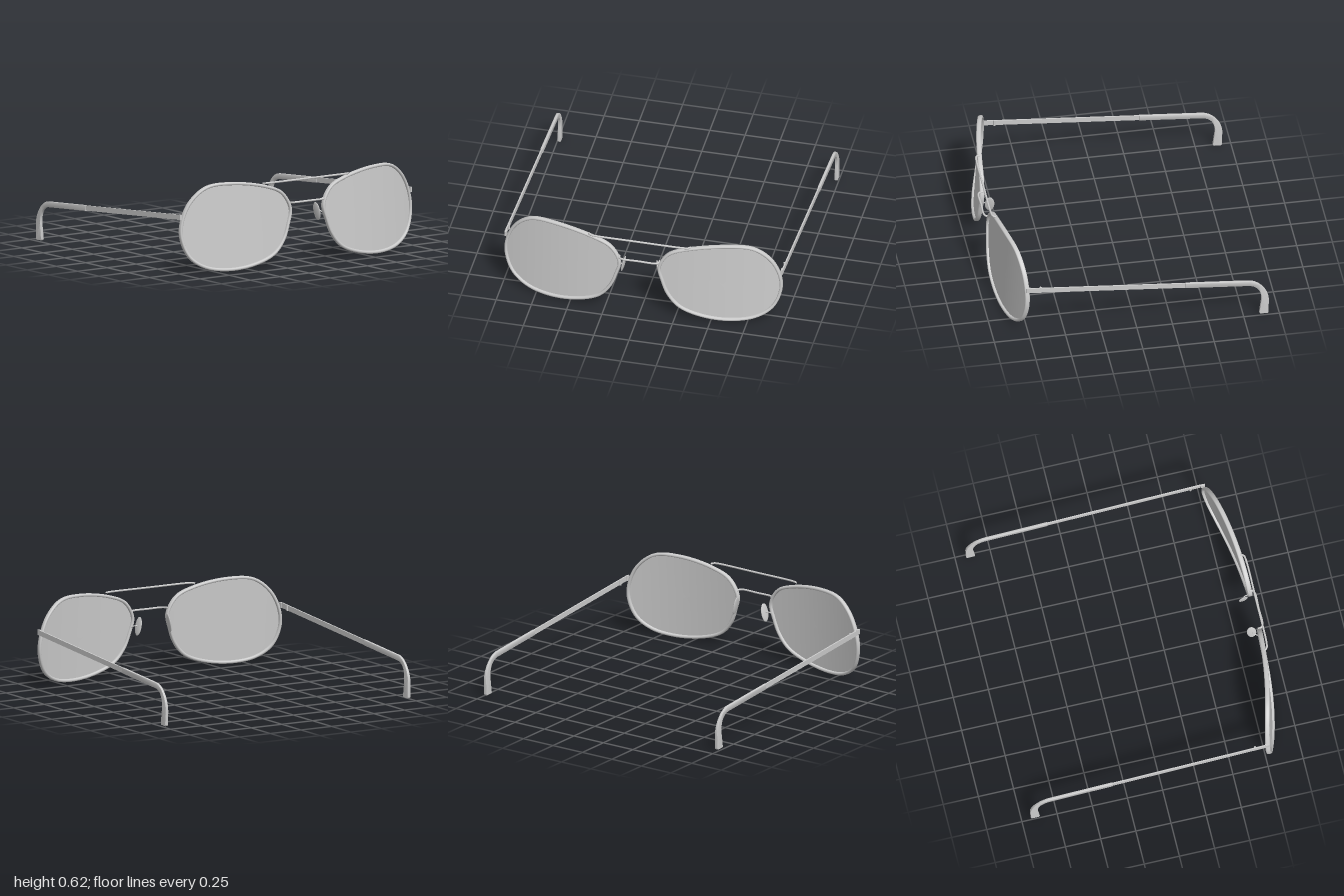
import * as THREE from 'three';
import { toCreasedNormals } from 'three/addons/utils/BufferGeometryUtils.js';

const mat = new THREE.MeshStandardMaterial({ color: 0xcccccc });
const lensMat = new THREE.MeshStandardMaterial({ color: 0xcccccc, side: THREE.DoubleSide });

// Wrapped, slightly tilted surface that the rims and lenses follow
const faceZ = (x, y) => 0.897 - 0.14 * Math.pow(Math.max(0, (x - 0.1) / 0.88), 2.2) - 0.06 * (y - 0.3);

// Outer outline of one rim, running clockwise from the nose side
const outline = new THREE.CatmullRomCurve3([
  [0.131, 0.40], [0.20, 0.52], [0.34, 0.58], [0.60, 0.621], [0.79, 0.605], [0.915, 0.505],
  [0.98, 0.36], [0.984, 0.24], [0.93, 0.11], [0.82, 0.033], [0.65, 0.004], [0.44, 0.027],
  [0.28, 0.09], [0.197, 0.185], [0.155, 0.29],
].map(([x, y]) => new THREE.Vector3(x, y, 0)), true);

const STEPS = 112;
const RIM_W = 0.011, RIM_D = 0.017;

// Middle line of the rim with its inward direction
const rimLine = Array.from({ length: STEPS }, (_, i) => {
  const p = outline.getPointAt(i / STEPS), t = outline.getTangentAt(i / STEPS);
  const inward = new THREE.Vector2(t.y, -t.x);
  return { x: p.x + inward.x * RIM_W, y: p.y + inward.y * RIM_W, inward };
});

function gridGeometry(positions, rows, cols, wrapRows) {
  const index = [];
  for (let i = 0; i < (wrapRows ? rows : rows - 1); i++) {
    for (let j = 0; j < cols; j++) {
      const a = i * cols + j, b = i * cols + (j + 1) % cols;
      const n = (i + 1) % rows, c = n * cols + j, d = n * cols + (j + 1) % cols;
      index.push(a, c, b, b, c, d);
    }
  }
  const g = new THREE.BufferGeometry();
  g.setAttribute('position', new THREE.Float32BufferAttribute(positions, 3));
  g.setIndex(index);
  g.computeVertexNormals();
  return g;
}

// Rounded rim section swept round the outline
function rimGeometry() {
  const pos = [], sides = 12;
  const soft = v => Math.sign(v) * Math.pow(Math.abs(v), 0.7);
  for (const { x, y, inward } of rimLine) {
    for (let j = 0; j < sides; j++) {
      const a = j / sides * Math.PI * 2;
      const w = soft(Math.cos(a)) * RIM_W, d = soft(Math.sin(a)) * RIM_D;
      pos.push(x + inward.x * w, y + inward.y * w, faceZ(x, y) + d);
    }
  }
  return gridGeometry(pos, STEPS, sides, true);
}

// Lens: rings growing from the middle out to the rim
function lensGeometry() {
  const pos = [], rings = 10, cx = 0.56, cy = 0.31;
  for (let r = 0; r <= rings; r++) {
    const k = Math.max(r / rings, 0.001);
    for (const p of rimLine) {
      const x = cx + (p.x - cx) * k, y = cy + (p.y - cy) * k;
      pos.push(x, y, faceZ(x, y));
    }
  }
  const g = gridGeometry(pos, rings + 1, STEPS, false);
  const idx = g.index.array;
  // Turn the faces forward
  for (let i = 0; i < idx.length; i += 3) [idx[i], idx[i + 1]] = [idx[i + 1], idx[i]];
  g.computeVertexNormals();
  return g;
}

// Thin front part of the arm, sloping down to the back
const ARM_X = 0.984;
const armY = z => 0.4 - (0.75 - z) * 0.08;
function armGeometry() {
  const g = new THREE.BoxGeometry(0.01, 0.036, 1.12, 1, 1, 8);
  g.translate(ARM_X, 0, 0.2);
  const p = g.attributes.position;
  for (let i = 0; i < p.count; i++) p.setY(i, p.getY(i) + armY(p.getZ(i)));
  g.computeVertexNormals();
  return g;
}

// Thicker sleeve with the hook behind the ear, drawn in (-z, y)
function sleeveGeometry() {
  const s = new THREE.Shape();
  s.moveTo(0.35, armY(-0.35) + 0.02);
  s.lineTo(0.79, armY(-0.79) + 0.02);
  s.bezierCurveTo(0.87, 0.29, 0.935, 0.2, 0.933, 0.12);
  s.lineTo(0.93, 0.022);
  s.quadraticCurveTo(0.93, 0.011, 0.92, 0.01);
  s.lineTo(0.875, 0.012);
  s.quadraticCurveTo(0.865, 0.013, 0.866, 0.025);
  s.lineTo(0.88, 0.13);
  s.bezierCurveTo(0.883, 0.19, 0.86, 0.25, 0.79, armY(-0.79) - 0.02);
  s.lineTo(0.35, armY(-0.35) - 0.02);
  s.closePath();
  const g = new THREE.ExtrudeGeometry(s, {
    depth: 0.01, curveSegments: 14, bevelThickness: 0.004, bevelSize: 0.003, bevelOffset: -0.003, bevelSegments: 2,
  });
  g.translate(0, 0, -0.005);
  g.rotateY(Math.PI / 2);
  // The hook thickens towards its tip
  const p = g.attributes.position;
  for (let i = 0; i < p.count; i++) {
    const k = 1 + 0.35 * THREE.MathUtils.smoothstep(0.25 - p.getY(i), 0, 0.2);
    p.setX(i, p.getX(i) * k + ARM_X);
  }
  return toCreasedNormals(g, 0.6);
}

function hingeGeometry() {
  return new THREE.CylinderGeometry(0.008, 0.008, 0.042, 12).translate(ARM_X - 0.005, armY(0.665), 0.665);
}

// End piece joining the rim to the arm
function endPieceGeometry() {
  return new THREE.BoxGeometry(0.014, 0.036, 0.03).translate(ARM_X - 0.003, 0.4, 0.752);
}

function nosePadGeometry() {
  const g = new THREE.SphereGeometry(1, 20, 14);
  g.scale(0.008, 0.066, 0.033);
  g.rotateY(0.15);
  g.rotateZ(0.19);
  return g.translate(0.124, 0.345, 0.84);
}

function wireGeometry(points, radius) {
  const curve = new THREE.CatmullRomCurve3(points.map(p => new THREE.Vector3(...p)), false, 'centripetal');
  return new THREE.TubeGeometry(curve, 48, radius, 10);
}

// Mirrored copy across x with the faces turned back outward
function mirrored(source) {
  const g = source.index ? source.toNonIndexed() : source.clone();
  g.scale(-1, 1, 1);
  for (const a of Object.values(g.attributes)) {
    const n = a.itemSize, v = a.array;
    for (let i = 0; i < a.count; i += 3) {
      for (let k = 0; k < n; k++) {
        const q = (i + 1) * n + k;
        [v[q], v[q + n]] = [v[q + n], v[q]];
      }
    }
  }
  return g;
}

export function createModel() {
  const model = new THREE.Group();
  model.name = 'glasses';
  const add = (name, geometry, material = mat) => {
    const m = new THREE.Mesh(geometry, material);
    m.name = name;
    model.add(m);
  };
  const addPair = (name, geometry, material) => {
    add('left' + name, geometry, material);
    add('right' + name, mirrored(geometry), material);
  };

  addPair('Rim', rimGeometry());
  addPair('Lens', lensGeometry(), lensMat);
  addPair('EndPiece', endPieceGeometry());
  addPair('Arm', armGeometry());
  addPair('Hinge', hingeGeometry());
  addPair('EarHook', sleeveGeometry());
  addPair('NosePad', nosePadGeometry());
  addPair('NosePadWire', wireGeometry([[0.128, 0.345, 0.842], [0.14, 0.35, 0.85], [0.15, 0.34, 0.87], [0.156, 0.33, 0.888]], 0.004));

  // Brow bar and bridge, with ends bent back into the rims
  add('browBar', wireGeometry([[-0.362, 0.592, 0.875], [-0.35, 0.595, 0.895], [-0.32, 0.596, 0.902], [0, 0.596, 0.904],
    [0.32, 0.596, 0.902], [0.35, 0.595, 0.895], [0.362, 0.592, 0.875]], 0.007));
  add('bridge', wireGeometry([[-0.142, 0.44, 0.88], [-0.139, 0.441, 0.905], [-0.12, 0.442, 0.919], [0, 0.442, 0.92],
    [0.12, 0.442, 0.919], [0.139, 0.441, 0.905], [0.142, 0.44, 0.88]], 0.007));

  // The frame sits very slightly turned
  model.rotation.y = -0.005;
  model.position.x = -0.0045;
  return model;
}
